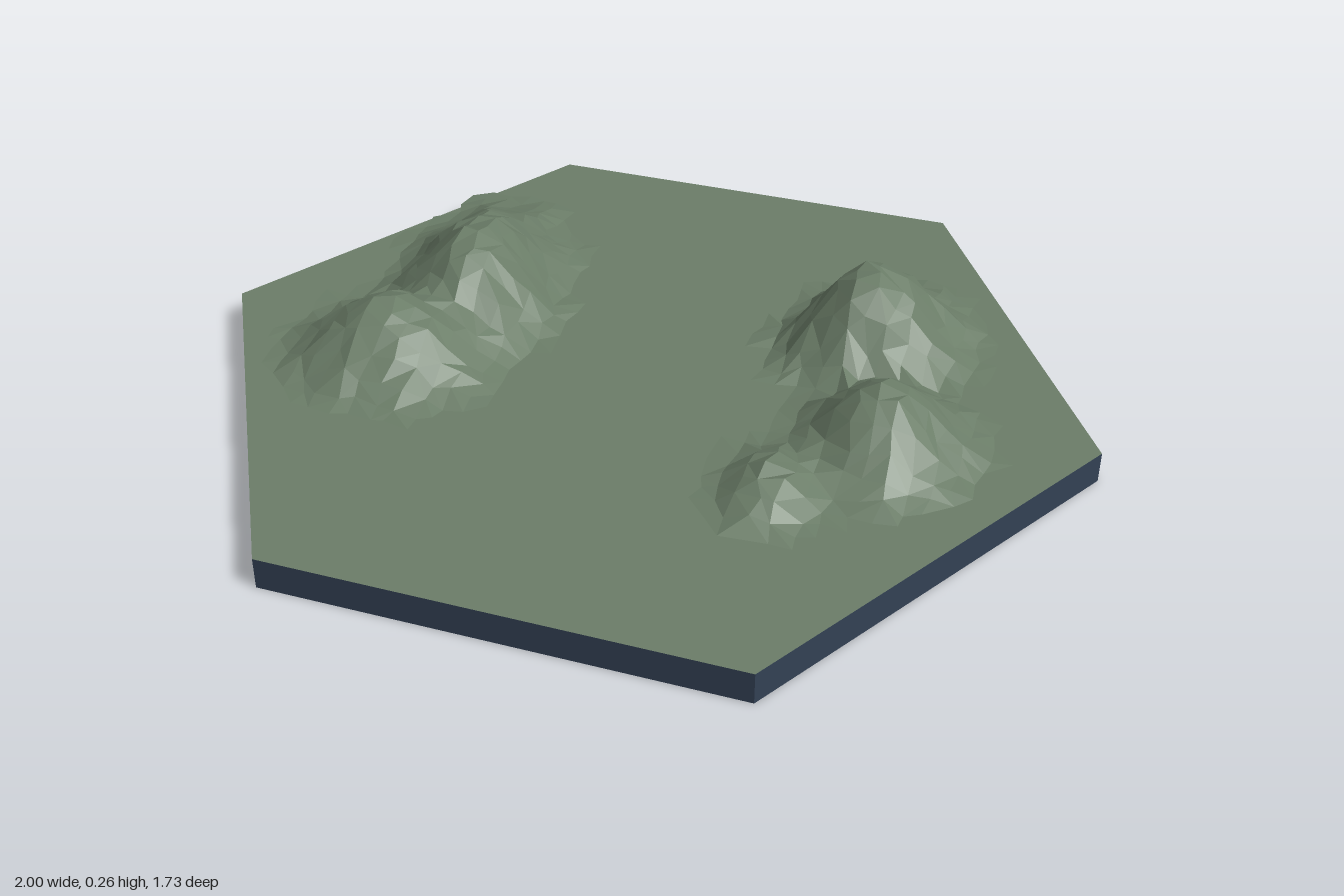
import * as THREE from 'three';

const TOP = 0.07;

// Repeatable jitter in -0.5..0.5 for a grid point
function jitter(i, j, k) {
  const s = Math.sin(i * 127.1 + j * 311.7 + k * 74.7) * 43758.5453;
  return s - Math.floor(s) - 0.5;
}

// One mound: bell profile over an uneven ellipse (back and front radii differ)
function mound(m, x, z) {
  const dz = z - m.z;
  const dx = x - m.x - (m.lean || 0) * dz;
  const u = dx / (dx < 0 ? m.west : m.east);
  const v = dz / (dz < 0 ? m.back : m.front);
  const ripple = 1 + 0.05 * Math.sin(9 * Math.atan2(v, u) + m.x * 20);
  const r = Math.hypot(u, v) * ripple;
  return r < 1 ? m.h * (0.5 + 0.5 * Math.cos(Math.PI * r)) : 0;
}

// Faceted terrain over a rectangle, keeping only the faces that rise above the slab
function hills(name, mounds, [x0, x1, z0, z1], material) {
  const step = 0.045;
  const nx = Math.ceil((x1 - x0) / step), nz = Math.ceil((z1 - z0) / step);
  const point = (i, j) => {
    const x = x0 + (i + 0.5 * jitter(i, j, 1)) * step;
    const z = z0 + (j + 0.5 * jitter(i, j, 2)) * step;
    const sum = mounds.reduce((s, m) => s + mound(m, x, z) ** 3, 0);
    const h = Math.cbrt(sum) * (1 + 0.08 * jitter(i, j, 3));
    return [x, TOP + (h < 0.002 ? 0 : h), z];
  };
  const positions = [];
  const face = (...corners) => {
    if (corners.some((c) => c[1] > TOP)) positions.push(...corners.flat());
  };
  for (let i = 0; i < nx; i++) {
    for (let j = 0; j < nz; j++) {
      const a = point(i, j), b = point(i, j + 1);
      const c = point(i + 1, j + 1), d = point(i + 1, j);
      if (jitter(i, j, 4) > 0) {
        face(a, b, c);
        face(a, c, d);
      } else {
        face(a, b, d);
        face(b, c, d);
      }
    }
  }
  const geometry = new THREE.BufferGeometry();
  geometry.setAttribute('position', new THREE.Float32BufferAttribute(positions, 3));
  geometry.computeVertexNormals(); // unshared corners give flat facets
  const mesh = new THREE.Mesh(geometry, material);
  mesh.name = name;
  return mesh;
}

export function createModel() {
  const group = new THREE.Group();
  group.name = 'hillTile';
  const grass = new THREE.MeshStandardMaterial({ color: 0x6b7d68 });
  grass.name = 'grass green';
  const slate = new THREE.MeshStandardMaterial({ color: 0x334155 });
  slate.name = 'slate blue';

  // Hexagonal slab with corners on the x axis
  const slab = new THREE.CylinderGeometry(1, 1, TOP, 6, 1, false, Math.PI / 2).toNonIndexed();
  slab.computeVertexNormals();
  slab.translate(0, TOP / 2, 0);
  // Side, top and bottom faces
  slab.clearGroups();
  slab.addGroup(0, 36, 0);
  slab.addGroup(36, 18, 1);
  slab.addGroup(54, 18, 0);
  const base = new THREE.Mesh(slab, [slate, grass]);
  base.name = 'base';
  group.add(base);

  // Long ridge with a lower hill in front of it
  group.add(hills('rightHills', [
    { x: -0.46, z: -0.15, h: 0.18, west: 0.27, east: 0.23, back: 0.54, front: 0.3, lean: 0.14 },
    { x: -0.56, z: 0.12, h: 0.14, west: 0.27, east: 0.31, back: 0.27, front: 0.27 },
  ], [-0.9, -0.15, -0.75, 0.46], grass));

  // Tall hill, middle hill and small front hill
  group.add(hills('leftHills', [
    { x: 0.44, z: -0.25, h: 0.2, west: 0.22, east: 0.27, back: 0.33, front: 0.25, lean: -0.1 },
    { x: 0.56, z: 0.11, h: 0.14, west: 0.23, east: 0.24, back: 0.26, front: 0.27 },
    { x: 0.38, z: 0.34, h: 0.068, west: 0.13, east: 0.14, back: 0.2, front: 0.19 },
  ], [0.15, 0.87, -0.66, 0.6], grass));

  return group;
}
